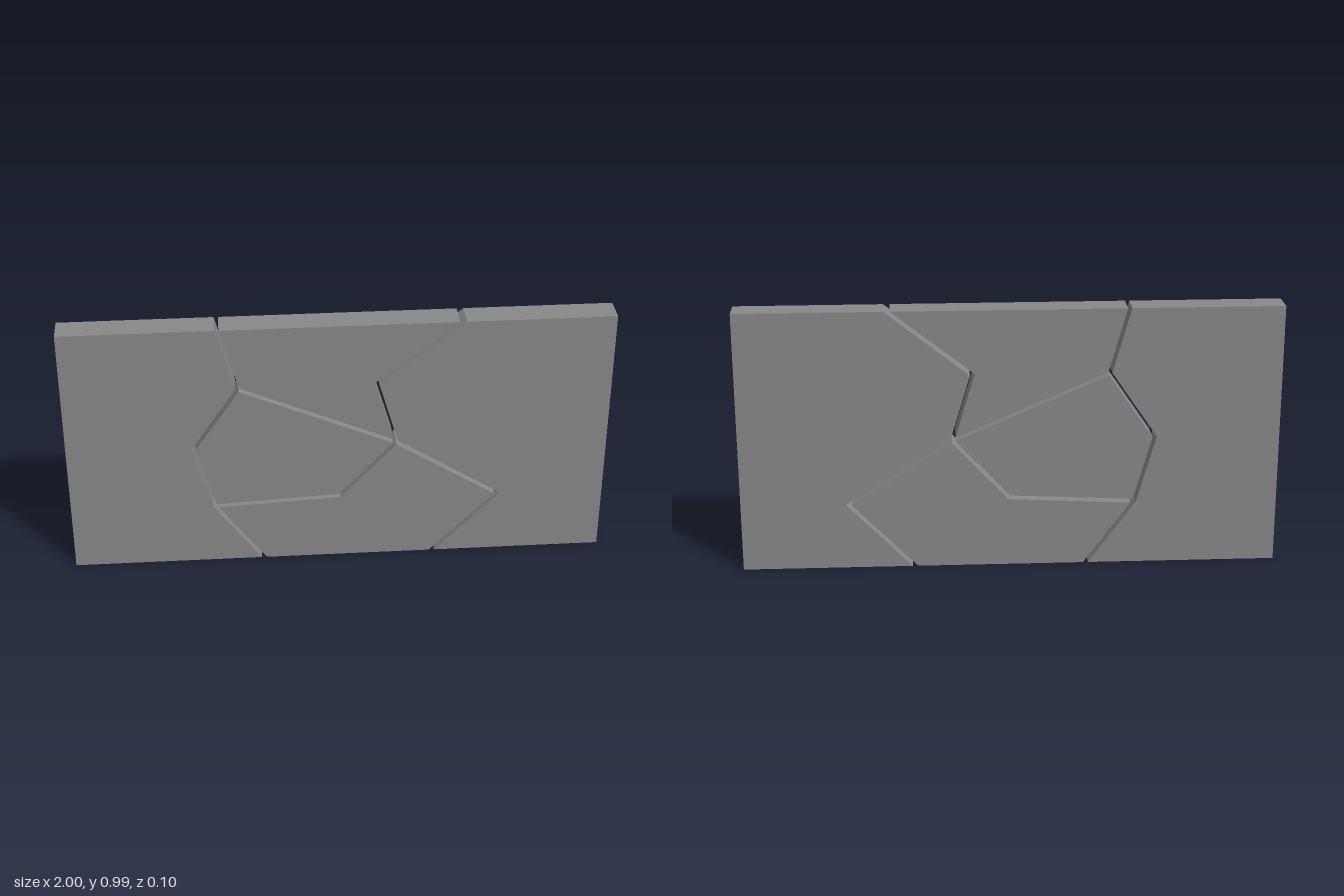
import * as THREE from 'three';

const H = 0.993, DEPTH = 0.103, HALF_GAP = 0.0075;

// Crack junctions and the slab corners
const P = {
  bl: [-1, 0], br: [1, 0], tr: [1, H], tl: [-1, H],
  t1: [-0.433, H], t2: [0.445, H], b1: [-0.285, 0], b2: [0.357, 0],
  a: [-0.365, 0.748], b: [-0.535, 0.498], c: [-0.464, 0.246],
  e: [0.004, 0.27], f: [0.213, 0.498], g: [0.138, 0.751], h: [0.6, 0.251],
};

// Counter-clockwise outline of each fragment
const FRAGMENTS = {
  leftFragment: ['bl', 'b1', 'c', 'b', 'a', 't1', 'tl'],
  topFragment: ['t1', 'a', 'f', 'g', 't2'],
  centreFragment: ['a', 'b', 'c', 'e', 'f'],
  bottomFragment: ['b1', 'b2', 'h', 'f', 'e', 'c'],
  rightFragment: ['b2', 'br', 'tr', 't2', 'g', 'f', 'h'],
};

// Edges on the slab's rim stay put; crack edges move inward by half the gap
function insetEdge(p, q) {
  const onRim = (p[1] === q[1] && (p[1] === 0 || p[1] === H)) ||
    (p[0] === q[0] && Math.abs(p[0]) === 1);
  const d = new THREE.Vector2(q[0] - p[0], q[1] - p[1]).normalize();
  const off = onRim ? 0 : HALF_GAP;
  return { o: new THREE.Vector2(p[0] - d.y * off, p[1] + d.x * off), d };
}

// Corner of the inset outline, where two neighbouring edge lines cross
function cross(m, n) {
  const t = n.o.clone().sub(m.o).cross(n.d) / m.d.cross(n.d);
  return m.o.clone().addScaledVector(m.d, t);
}

export function createModel() {
  const group = new THREE.Group();
  group.name = 'crackedSlab';
  const material = new THREE.MeshStandardMaterial({ color: 0x888888 });
  for (const [name, keys] of Object.entries(FRAGMENTS)) {
    const pts = keys.map((k) => P[k]);
    const edges = pts.map((p, i) => insetEdge(p, pts[(i + 1) % pts.length]));
    const outline = edges.map((edge, i) => cross(edges.at(i - 1), edge));
    const geometry = new THREE.ExtrudeGeometry(new THREE.Shape(outline), { depth: DEPTH, bevelEnabled: false });
    geometry.translate(0, 0, -DEPTH / 2);
    const mesh = new THREE.Mesh(geometry, material);
    mesh.name = name;
    group.add(mesh);
  }
  return group;
}
